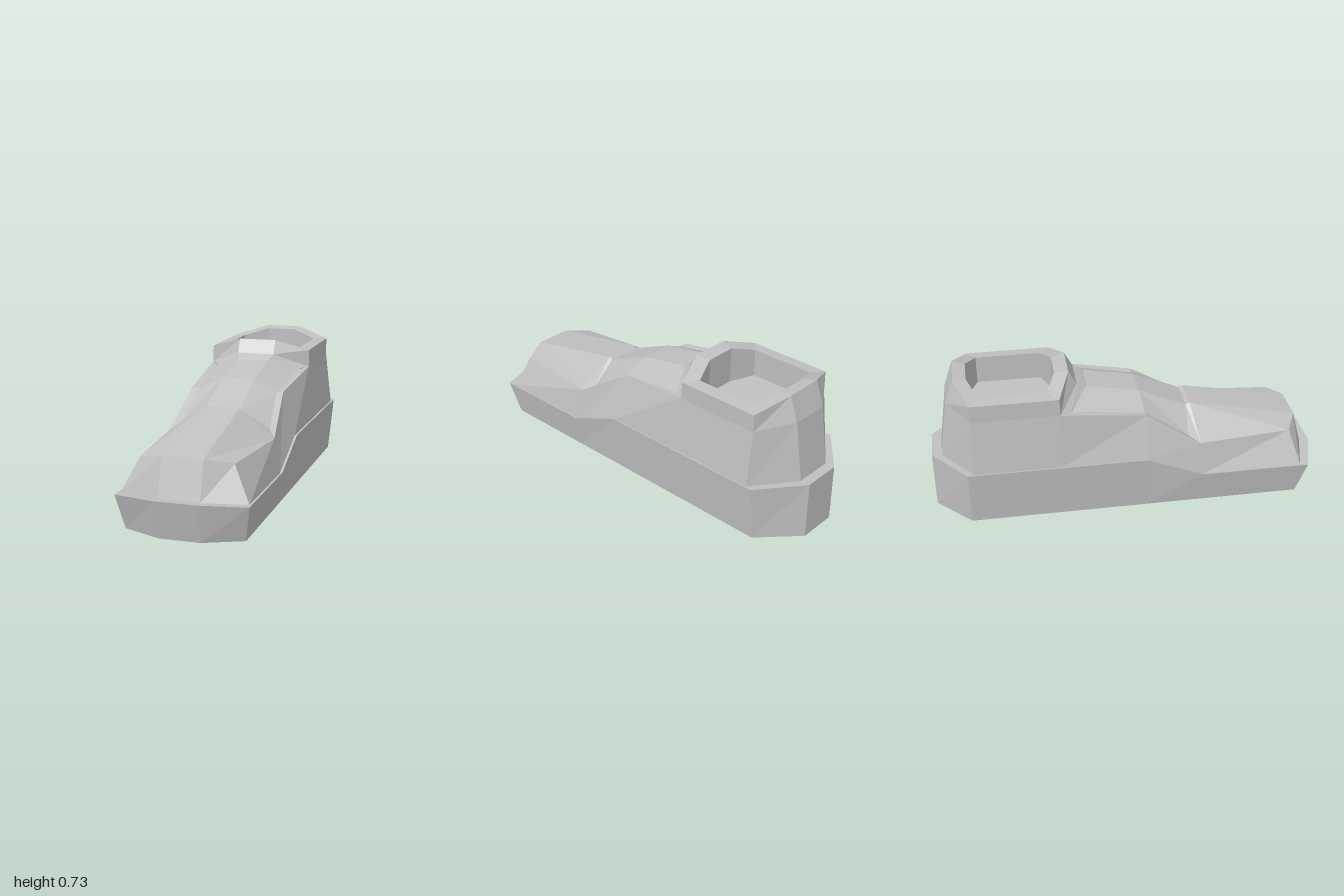
import * as THREE from 'three';

const grey = new THREE.MeshStandardMaterial({ color: 0xc0c0c0, flatShading: true, side: THREE.DoubleSide });
grey.name = 'grey';

const flip = ([x, y, z]) => [-x, y, z];
// Half ring on +x, front to back, mirrored into a closed loop
const ring = (half) => [...half, ...half.map(flip).reverse(), half[0]];
// Half row from the centre outwards, mirrored into a row from -x to +x
const row = (half) => [...half.map(flip).reverse(), ...half];

// Quads between successive rows of points
function loft(name, rows) {
  const p = [];
  for (let i = 0; i < rows.length - 1; i++) {
    for (let j = 0; j < rows[i].length - 1; j++) {
      const a = rows[i][j], b = rows[i][j + 1], c = rows[i + 1][j + 1], d = rows[i + 1][j];
      p.push(...a, ...b, ...c, ...a, ...c, ...d);
    }
  }
  return meshOf(name, p);
}

// Fan closing a ring; up says which way it faces
function cap(name, loop, up) {
  const p = [];
  for (let i = 1; i < loop.length - 2; i++) {
    const [b, c] = up ? [loop[i], loop[i + 1]] : [loop[i + 1], loop[i]];
    p.push(...loop[0], ...b, ...c);
  }
  return meshOf(name, p);
}

function meshOf(name, positions) {
  const g = new THREE.BufferGeometry();
  g.setAttribute('position', new THREE.Float32BufferAttribute(positions, 3));
  g.computeVertexNormals();
  const m = new THREE.Mesh(g, grey);
  m.name = name;
  return m;
}

export function createModel() {
  const shoe = new THREE.Group();
  shoe.name = 'shoe';

  // Sole
  const soleBottom = ring([[0.1, 0, 0.95], [0.29, 0.005, 0.88], [0.29, 0.005, 0.37], [0.29, 0.005, 0.08],
    [0.29, 0.005, -0.35], [0.29, 0.005, -0.825], [0.1, 0, -1]]);
  const soleTop = ring([[0.1, 0.19, 1], [0.32, 0.18, 0.93], [0.32, 0.18, 0.37], [0.32, 0.3, 0.08],
    [0.32, 0.3, -0.35], [0.32, 0.3, -0.825], [0.1, 0.3, -1]]);
  const upperBase = ring([[0.1, 0.185, 0.95], [0.308, 0.178, 0.89], [0.308, 0.178, 0.37], [0.308, 0.298, 0.08],
    [0.308, 0.298, -0.35], [0.308, 0.298, -0.79], [0.1, 0.298, -0.95]]);
  shoe.add(loft('sole', [soleBottom, soleTop, upperBase]), cap('soleBottom', soleBottom, false));

  // Side walls of the upper
  const upperTop = ring([[0.1, 0.37, 0.9], [0.225, 0.345, 0.84], [0.275, 0.345, 0.36], [0.245, 0.52, 0.08],
    [0.275, 0.58, -0.35], [0.275, 0.58, -0.79], [0.1, 0.6, -0.905]]);
  shoe.add(loft('upperWalls', [upperBase, upperTop]));

  // Toe cap with its step down to the tongue
  shoe.add(loft('toeCap', [
    row([[0.1, 0.37, 0.9], [0.225, 0.345, 0.84]]),
    row([[0.09, 0.48, 0.335], [0.275, 0.345, 0.36]]),
    row([[0.09, 0.47, 0.315], [0.235, 0.375, 0.3]]),
  ]));

  // Tongue with the narrow edge strips beside it
  shoe.add(loft('tongue', [
    row([[0.09, 0.47, 0.315], [0.235, 0.375, 0.3], [0.275, 0.345, 0.36]]),
    row([[0.085, 0.575, 0.07], [0.21, 0.515, 0.08], [0.245, 0.52, 0.08]]),
    row([[0.085, 0.627, -0.2], [0.235, 0.572, -0.29], [0.275, 0.58, -0.35]]),
  ]));

  // Ledge between tongue and collar
  shoe.add(loft('collarLedge', [
    row([[0.085, 0.627, -0.2], [0.235, 0.572, -0.29]]),
    row([[0.085, 0.634, -0.21], [0.237, 0.576, -0.295]]),
    row([[0.1, 0.653, -0.25], [0.275, 0.58, -0.35]]),
  ]));

  // Collar: outer wall, rim and foot opening
  const inner = [[0.08, 0.715, -0.36], [0.21, 0.675, -0.41], [0.21, 0.675, -0.74], [0.08, 0.715, -0.795]];
  const floor = ring(inner.map(([x, , z]) => [x, 0.53, z]));
  shoe.add(loft('collar', [
    ring([[0.1, 0.653, -0.25], [0.275, 0.58, -0.35], [0.275, 0.58, -0.79], [0.1, 0.6, -0.905]]),
    ring([[0.1, 0.725, -0.29], [0.275, 0.67, -0.355], [0.275, 0.67, -0.79], [0.1, 0.725, -0.86]]),
    ring(inner),
    floor,
  ]), cap('insole', floor, true));

  return shoe;
}
